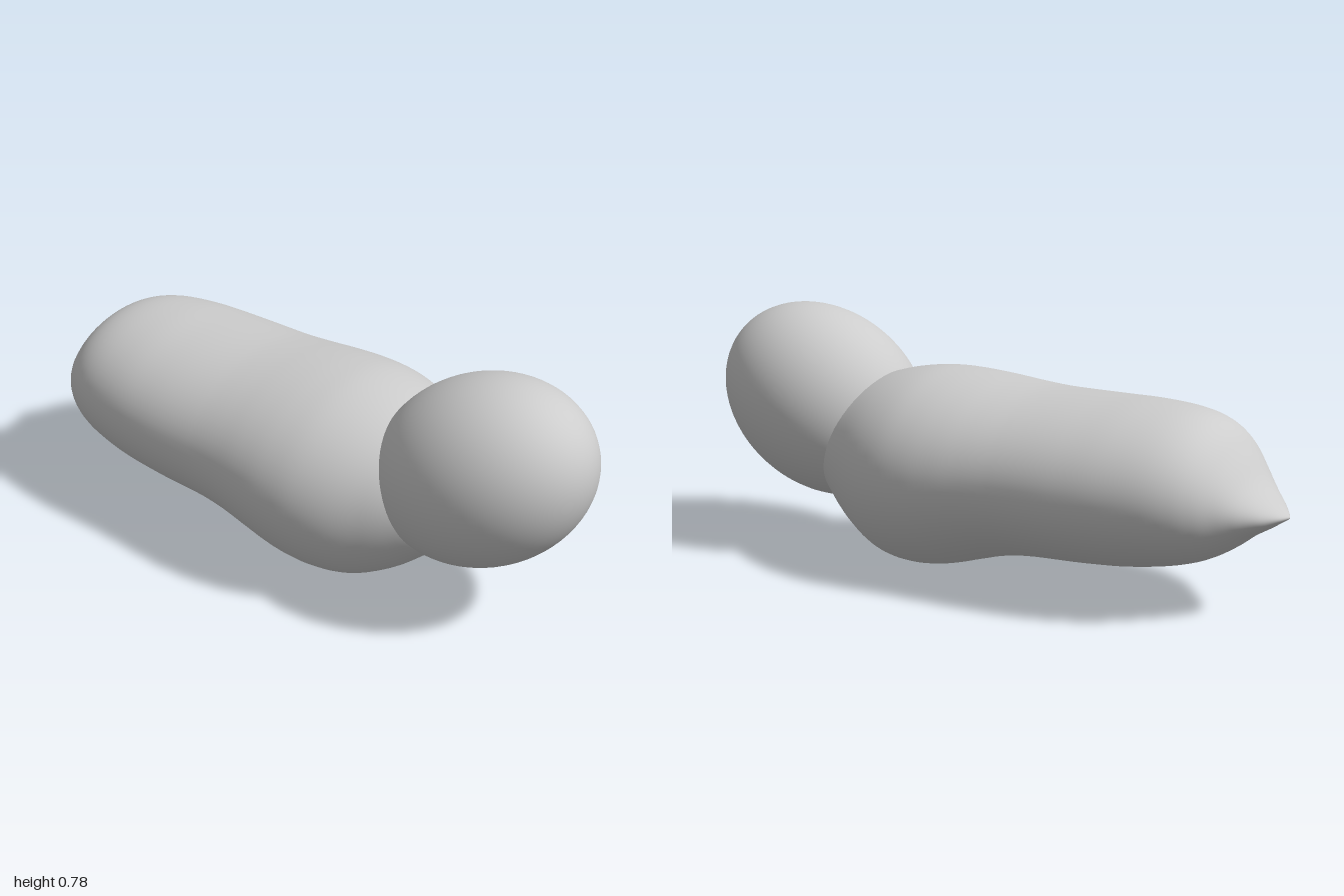
import * as THREE from 'three';

// Body stations along x: [x, bottom y, top y, half width]
const STATIONS = [
  [-1, 0.313, 0.319, 0.004], [-0.985, 0.303, 0.328, 0.035], [-0.95, 0.28, 0.357, 0.09],
  [-0.9, 0.25, 0.408, 0.148], [-0.85, 0.212, 0.478, 0.2], [-0.8, 0.18, 0.538, 0.25],
  [-0.75, 0.156, 0.573, 0.285], [-0.68, 0.135, 0.595, 0.315], [-0.55, 0.112, 0.607, 0.343],
  [-0.4, 0.1, 0.607, 0.357], [-0.2, 0.09, 0.608, 0.363], [-0.1, 0.074, 0.615, 0.37],
  [0, 0.046, 0.625, 0.38], [0.1, 0.017, 0.632, 0.385], [0.2, 0.003, 0.632, 0.376],
  [0.3, 0.013, 0.617, 0.346], [0.4, 0.062, 0.588, 0.292], [0.48, 0.125, 0.55, 0.238],
  [0.54, 0.18, 0.5, 0.185], [0.59, 0.25, 0.44, 0.11], [0.61, 0.34, 0.35, 0.005],
];

// Smooth skin through elliptical rings
function loftGeometry(stations, steps, sides) {
  const outline = new THREE.CatmullRomCurve3(stations.map(([x, lo, hi]) => new THREE.Vector3(x, lo, hi)));
  const widths = new THREE.CatmullRomCurve3(stations.map(([x, , , w]) => new THREE.Vector3(x, w, 0)));
  const positions = [], indices = [];
  for (let i = 0; i <= steps; i++) {
    const { x, y: lo, z: hi } = outline.getPoint(i / steps);
    const width = widths.getPoint(i / steps).y;
    for (let j = 0; j < sides; j++) {
      const t = (j / sides) * Math.PI * 2;
      positions.push(x, (lo + hi) / 2 + Math.sin(t) * (hi - lo) / 2, Math.cos(t) * width);
      if (i === steps) continue;
      const a = i * sides + j, b = i * sides + (j + 1) % sides;
      indices.push(a, a + sides, b, b, a + sides, b + sides);
    }
  }
  // End caps
  const first = positions.length / 3, last = first + 1, lastRing = steps * sides;
  const start = stations[0], end = stations[stations.length - 1];
  positions.push(start[0], (start[1] + start[2]) / 2, 0, end[0], (end[1] + end[2]) / 2, 0);
  for (let j = 0; j < sides; j++) {
    const k = (j + 1) % sides;
    indices.push(first, j, k, last, lastRing + k, lastRing + j);
  }
  const geometry = new THREE.BufferGeometry();
  geometry.setAttribute('position', new THREE.Float32BufferAttribute(positions, 3));
  geometry.setIndex(indices);
  geometry.computeVertexNormals();
  return geometry;
}

export function createModel() {
  const model = new THREE.Group();
  const grey = new THREE.MeshStandardMaterial({ color: 0xcccccc });
  grey.name = 'light grey';

  // Long body with a pinched tail and a sagging chest
  const body = new THREE.Mesh(loftGeometry(STATIONS, 100, 64), grey);
  body.name = 'body';

  // Tilted egg-shaped head
  const head = new THREE.Mesh(new THREE.SphereGeometry(1, 64, 40), grey);
  head.name = 'head';
  head.scale.set(0.368, 0.286, 0.286);
  head.rotation.z = THREE.MathUtils.degToRad(30);
  head.position.set(0.65, 0.478, 0);

  model.add(body, head);
  return model;
}
